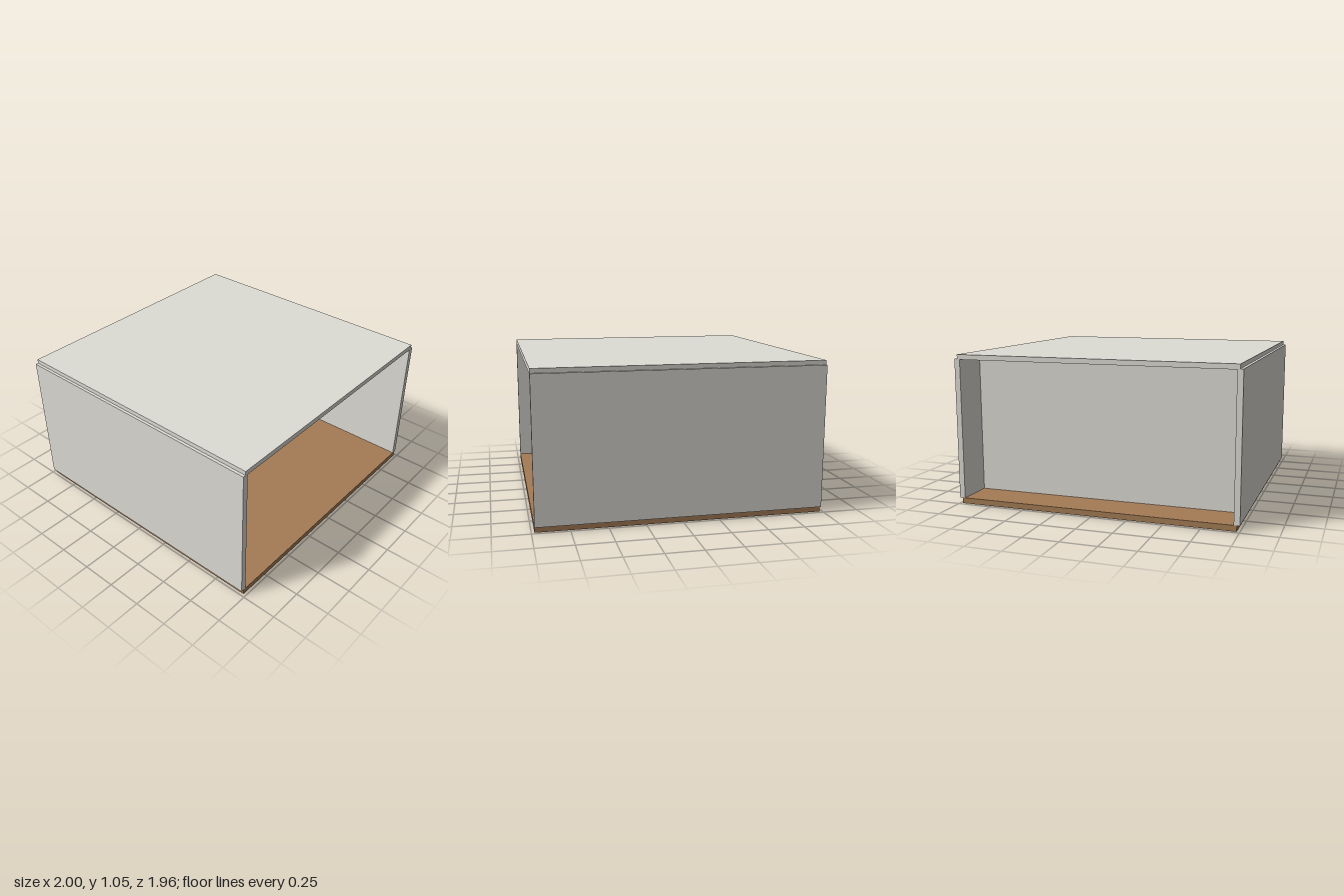
import * as THREE from 'three';

const mat = (color, side = THREE.FrontSide) =>
  new THREE.MeshStandardMaterial({ color, side });

const M = {
  wall: mat(0xdedcd5), floor: mat(0xa57c56), cabinet: mat(0xc8c0b2), steel: mat(0x9ea5aa),
  black: mat(0x222222), dark: mat(0x40474c), glass: mat(0x8cbccb), wood: mat(0xa9783f),
  plate: mat(0xf2efe8, THREE.DoubleSide),
};

// Box given by its lower and upper corner
function box(parent, name, material, [x0, y0, z0], [x1, y1, z1]) {
  const mesh = new THREE.Mesh(new THREE.BoxGeometry(x1 - x0, y1 - y0, z1 - z0), material);
  mesh.position.set((x0 + x1) / 2, (y0 + y1) / 2, (z0 + z1) / 2);
  mesh.name = name;
  parent.add(mesh);
  return mesh;
}

function group(parent, name) {
  const g = new THREE.Group();
  g.name = name;
  parent.add(g);
  return g;
}

const BACK = -0.675; // inner face of the back wall

function addRoom(root) {
  const room = group(root, 'room');
  box(room, 'floor', M.floor, [-0.98, 0, -0.98], [0.98, 0.04, 0.98]);
  box(room, 'roof', M.wall, [-0.98, 1.02, -0.98], [0.98, 1.055, 0.98]);
  box(room, 'rightWall', M.wall, [-1, 0.04, -0.98], [-0.96, 1.025, 0.98]);
  box(room, 'leftWall', M.wall, [0.96, 0.04, -0.98], [1, 1.025, 0.98]);
  box(room, 'backWall', M.wall, [-0.96, 0.04, -0.715], [0.96, 1.02, BACK]);
}

function addWindow(root) {
  const win = group(root, 'window');
  const [y0, y1, z0, z1, t] = [0.41, 0.82, -0.16, 0.46, 0.02];
  box(win, 'windowGlass', M.glass, [-0.965, y0 + t, z0 + t], [-0.95, y1 - t, z1 - t]);
  for (const y of [y0, y1 - t]) box(win, 'windowRail', M.cabinet, [-0.965, y, z0], [-0.938, y + t, z1]);
  for (const z of [z0, z1 - t]) box(win, 'windowStile', M.cabinet, [-0.965, y0 + t, z], [-0.938, y1 - t, z + t]);
}

function addFridge(root) {
  const fridge = group(root, 'fridge');
  box(fridge, 'fridgeLower', M.steel, [-0.94, 0.04, BACK], [-0.73, 0.434, -0.405]);
  box(fridge, 'fridgeSeam', M.dark, [-0.937, 0.434, BACK], [-0.733, 0.438, -0.408]);
  box(fridge, 'fridgeUpper', M.steel, [-0.94, 0.438, BACK], [-0.73, 0.73, -0.405]);
  box(fridge, 'fridgeHandle', M.black, [-0.766, 0.48, -0.405], [-0.758, 0.612, -0.39]);
}

// Base cabinet with counter, three doors and bar handles
function addBaseCabinet(root, cx) {
  const cab = group(root, 'baseCabinet');
  box(cab, 'cabinetBody', M.cabinet, [cx - 0.288, 0.04, BACK], [cx + 0.288, 0.335, -0.425]);
  box(cab, 'counter', M.cabinet, [cx - 0.298, 0.335, BACK], [cx + 0.298, 0.348, -0.41]);
  for (const i of [-1, 0, 1]) {
    const x = cx + i * 0.183;
    box(cab, 'cabinetDoor', M.cabinet, [x - 0.087, 0.065, -0.425], [x + 0.087, 0.318, -0.415]);
    box(cab, 'doorHandle', M.black, [x - 0.037, 0.285, -0.415], [x + 0.037, 0.292, -0.405]);
  }
}

function addWallCabinet(root, cx) {
  const cab = group(root, 'wallCabinet');
  box(cab, 'cabinetBody', M.cabinet, [cx - 0.292, 0.6, BACK], [cx + 0.292, 0.86, -0.48]);
  for (const i of [-1, 0, 1]) {
    const x = cx + 0.055 + i * 0.183;
    box(cab, 'cabinetHandle', M.black, [x - 0.003, 0.662, -0.48], [x + 0.003, 0.728, -0.468]);
  }
}

function addShelf(root) {
  const shelf = group(root, 'shelf');
  box(shelf, 'shelfBoard', M.wood, [-0.2, 0.492, BACK], [0.2, 0.505, -0.5]);
  for (const x of [-0.164, 0.164]) {
    box(shelf, 'bracketUpright', M.black, [x - 0.004, 0.4, BACK], [x + 0.004, 0.492, BACK + 0.01]);
    box(shelf, 'bracketArm', M.black, [x - 0.004, 0.482, BACK], [x + 0.004, 0.492, -0.53]);
    const brace = box(shelf, 'bracketBrace', M.black, [x - 0.003, 0.39, -0.626], [x + 0.003, 0.5, -0.62]);
    brace.position.set(x, 0.445, -0.625);
    brace.rotation.x = Math.PI / 4;
  }
}

// Open dishwasher: hollow body, lowered door, pulled-out rack of plates
function addDishwasher(root) {
  const dw = group(root, 'dishwasher');
  const front = -0.44;
  for (const s of [-1, 1]) {
    const [a, b] = s < 0 ? [-0.11, -0.1] : [0.1, 0.11];
    box(dw, 'bodySide', M.steel, [a, 0.04, BACK], [b, 0.335, front]);
  }
  box(dw, 'bodyTop', M.steel, [-0.1, 0.325, BACK], [0.1, 0.335, front]);
  box(dw, 'bodyBottom', M.steel, [-0.1, 0.04, BACK], [0.1, 0.055, front]);
  box(dw, 'bodyBack', M.dark, [-0.1, 0.055, BACK], [0.1, 0.325, BACK + 0.01]);
  box(dw, 'loweredDoor', M.steel, [-0.11, 0.045, front], [0.11, 0.056, -0.19]);
  box(dw, 'doorLining', M.dark, [-0.095, 0.056, front], [0.095, 0.061, -0.205]);

  const rack = group(dw, 'rack');
  const [zb, zf] = [-0.47, -0.22];
  for (const y of [0.072, 0.092]) {
    for (const z of [zb, zf]) box(rack, 'rackCrossRail', M.steel, [-0.095, y, z], [0.095, y + 0.004, z + 0.004]);
    for (const x of [-0.095, 0.091]) box(rack, 'rackSideRail', M.steel, [x, y, zb], [x + 0.004, y + 0.004, zf]);
  }
  for (let i = 0; i < 9; i++) {
    const x = -0.08 + i * 0.02;
    box(rack, 'rackWire', M.dark, [x - 0.0015, 0.072, zb], [x + 0.0015, 0.075, zf]);
  }

  // Shallow domed plates standing one behind another
  const profile = [[0.0001, 0.012], [0.018, 0.011], [0.03, 0.007], [0.042, 0]]
    .map(([r, h]) => new THREE.Vector2(r, h)).reverse();
  const plateGeo = new THREE.LatheGeometry(profile, 32).rotateX(Math.PI / 2);
  for (let i = 0; i < 6; i++) {
    const plate = new THREE.Mesh(plateGeo, M.plate);
    plate.name = 'plate';
    plate.position.set(-0.027, 0.148, -0.26 - i * 0.033);
    rack.add(plate);
    box(rack, 'plateHolder', M.dark, [-0.029, 0.074, plate.position.z - 0.002], [-0.025, 0.108, plate.position.z + 0.001]);
  }
}

export function createModel() {
  const root = new THREE.Group();
  root.name = 'kitchenRoom';
  addRoom(root);
  addWindow(root);
  addFridge(root);
  for (const s of [-1, 1]) {
    addBaseCabinet(root, s * 0.538);
    addWallCabinet(root, s * 0.54);
  }
  addShelf(root);
  addDishwasher(root);
  return root;
}
